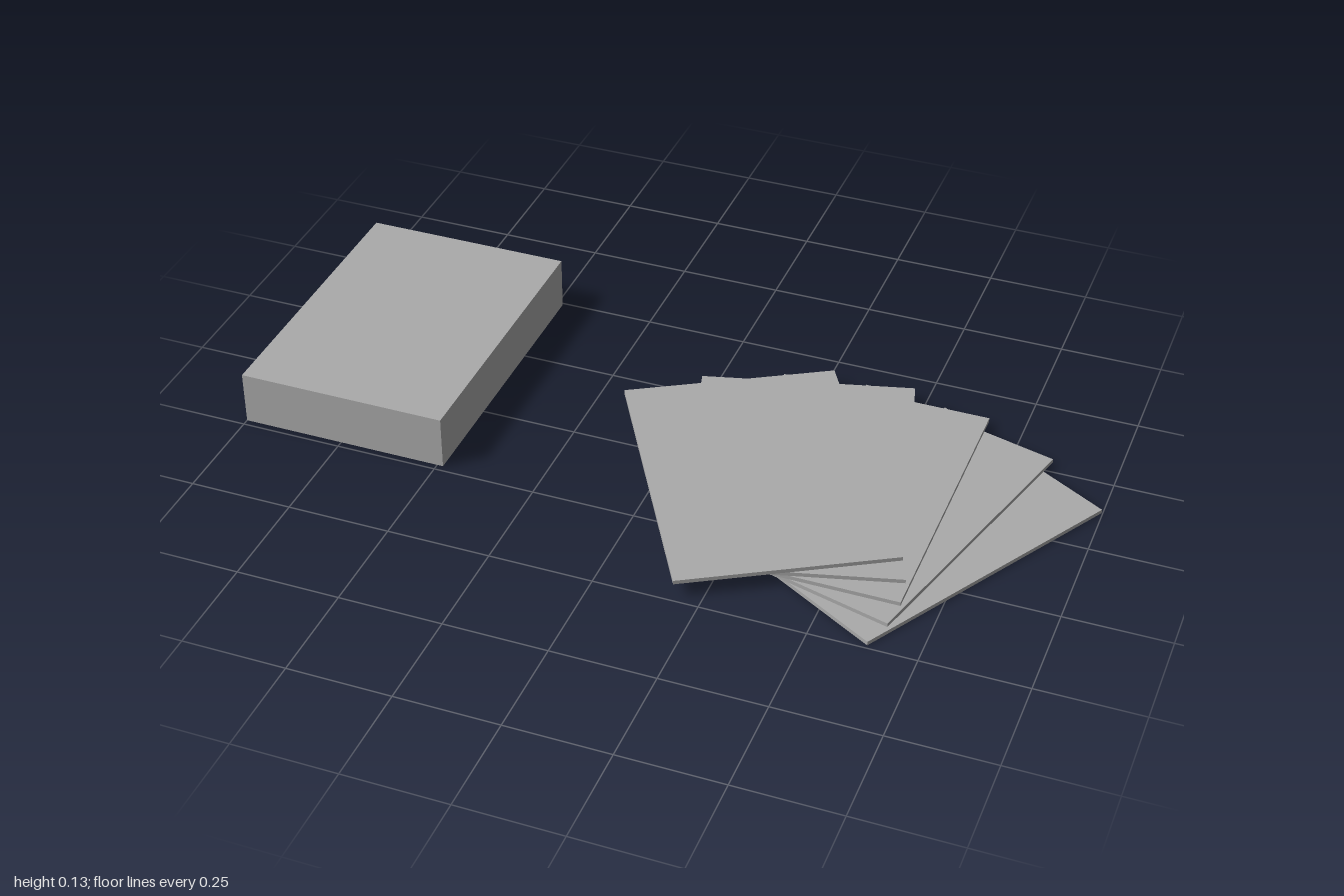
import * as THREE from 'three';

const WIDTH = 0.515, LENGTH = 0.727, THICK = 0.0097;

export function createModel() {
  const group = new THREE.Group();
  const grey = new THREE.MeshStandardMaterial({ color: 0xaaaaaa });
  grey.name = 'plain grey';

  // Squared-up stack of cards
  const deck = new THREE.Mesh(new THREE.BoxGeometry(WIDTH, 0.132, LENGTH), grey);
  deck.name = 'deck';
  deck.position.set(-0.7425, 0.066, -0.13);
  group.add(deck);

  // Fanned hand, each card turning about the middle of its near edge
  const fan = new THREE.Group();
  fan.name = 'fannedHand';
  fan.position.set(0.411, 0, 0.362);
  const cardShape = new THREE.BoxGeometry(WIDTH, THICK, LENGTH).translate(0, THICK / 2, -LENGTH / 2);
  for (let i = 0; i < 5; i++) {
    const card = new THREE.Mesh(cardShape, grey);
    card.name = `card${i + 1}`;
    card.position.y = i * THICK; // the rightmost card lies lowest
    card.rotation.y = THREE.MathUtils.degToRad(-30 + 15 * i);
    fan.add(card);
  }
  group.add(fan);
  return group;
}
